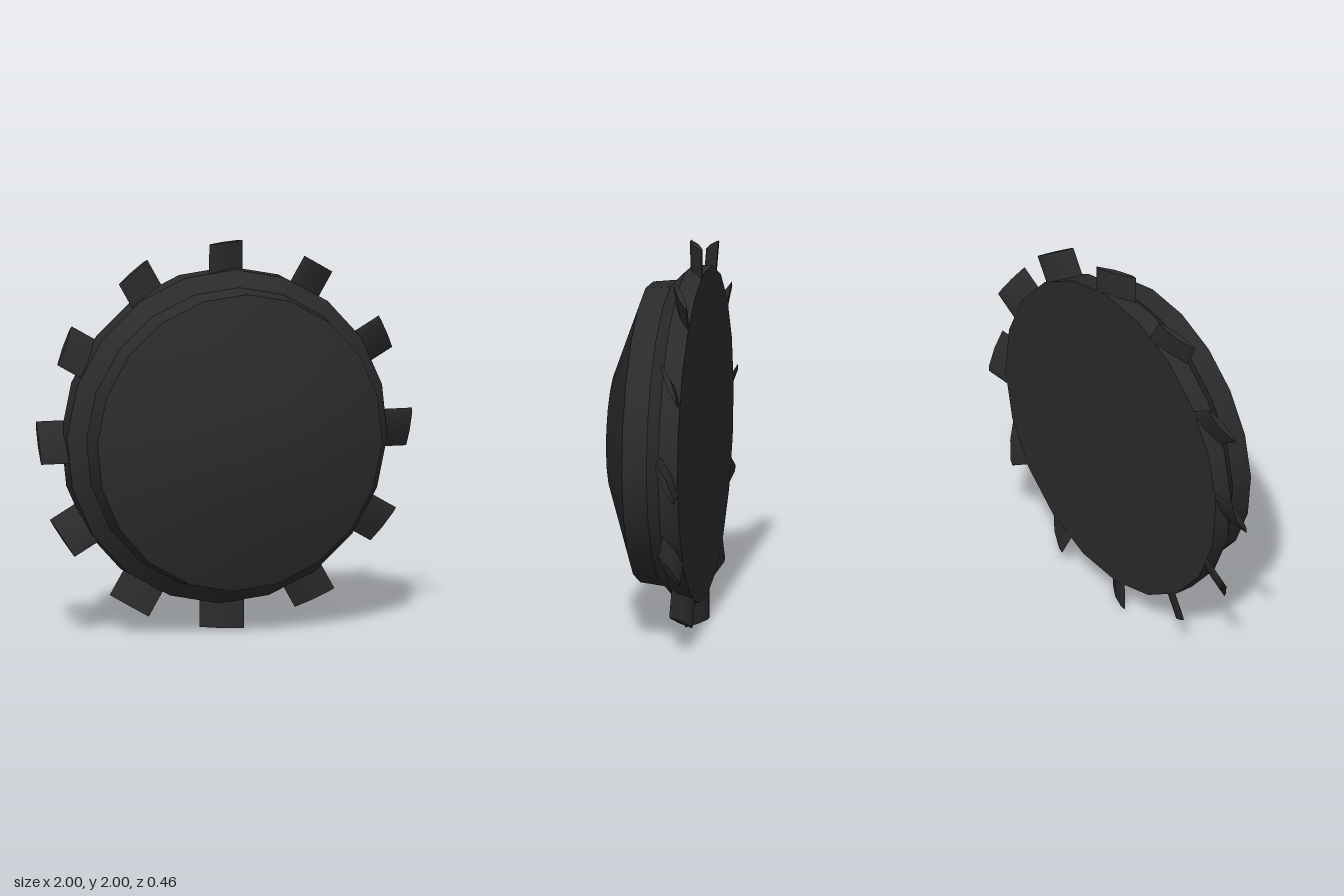
import * as THREE from 'three';
import { toCreasedNormals } from 'three/addons/utils/BufferGeometryUtils.js';

export function createModel() {
  const group = new THREE.Group();
  const black = new THREE.MeshStandardMaterial({ color: 0x2b2b2b });
  black.name = 'charcoal';
  const wheel = new THREE.Group();
  wheel.name = 'wheel';
  wheel.position.y = 1;
  group.add(wheel);

  // Stepped disc: flat back, rim, chamfer, collar, sloping face and flat centre
  const profile = [
    [0, -0.23], [0.865, -0.23], [0.865, -0.13], [0.785, -0.055],
    [0.77, 0.075], [0.335, 0.23], [0, 0.23],
  ].map(([r, z]) => new THREE.Vector2(r, z));
  const discGeometry = new THREE.LatheGeometry(profile, 20);
  discGeometry.rotateX(Math.PI / 2);
  discGeometry.rotateZ(-0.05);
  const disc = new THREE.Mesh(toCreasedNormals(discGeometry, 0.4), black);
  disc.name = 'disc';
  wheel.add(disc);

  // Slanted blade section (tangent, -z), extruded outwards along the radius
  const section = new THREE.Shape([
    [-0.105, 0.14], [-0.075, 0.14], [0.02, 0.176], [0.105, 0.23],
    [0.075, 0.23], [-0.02, 0.194],
  ].map(([t, v]) => new THREE.Vector2(t, v)));
  const blade = new THREE.ExtrudeGeometry(section, { depth: 0.2, bevelEnabled: false });
  blade.rotateX(-Math.PI / 2);
  blade.translate(0, 0.8, 0);
  const bladeGeometry = toCreasedNormals(blade, 0.4);

  // Twelve blades around the rim
  for (let i = 0; i < 12; i++) {
    const fin = new THREE.Mesh(bladeGeometry, black);
    fin.name = 'blade' + (i + 1);
    fin.rotation.z = (i * Math.PI) / 6 - 0.012;
    wheel.add(fin);
  }
  return group;
}
